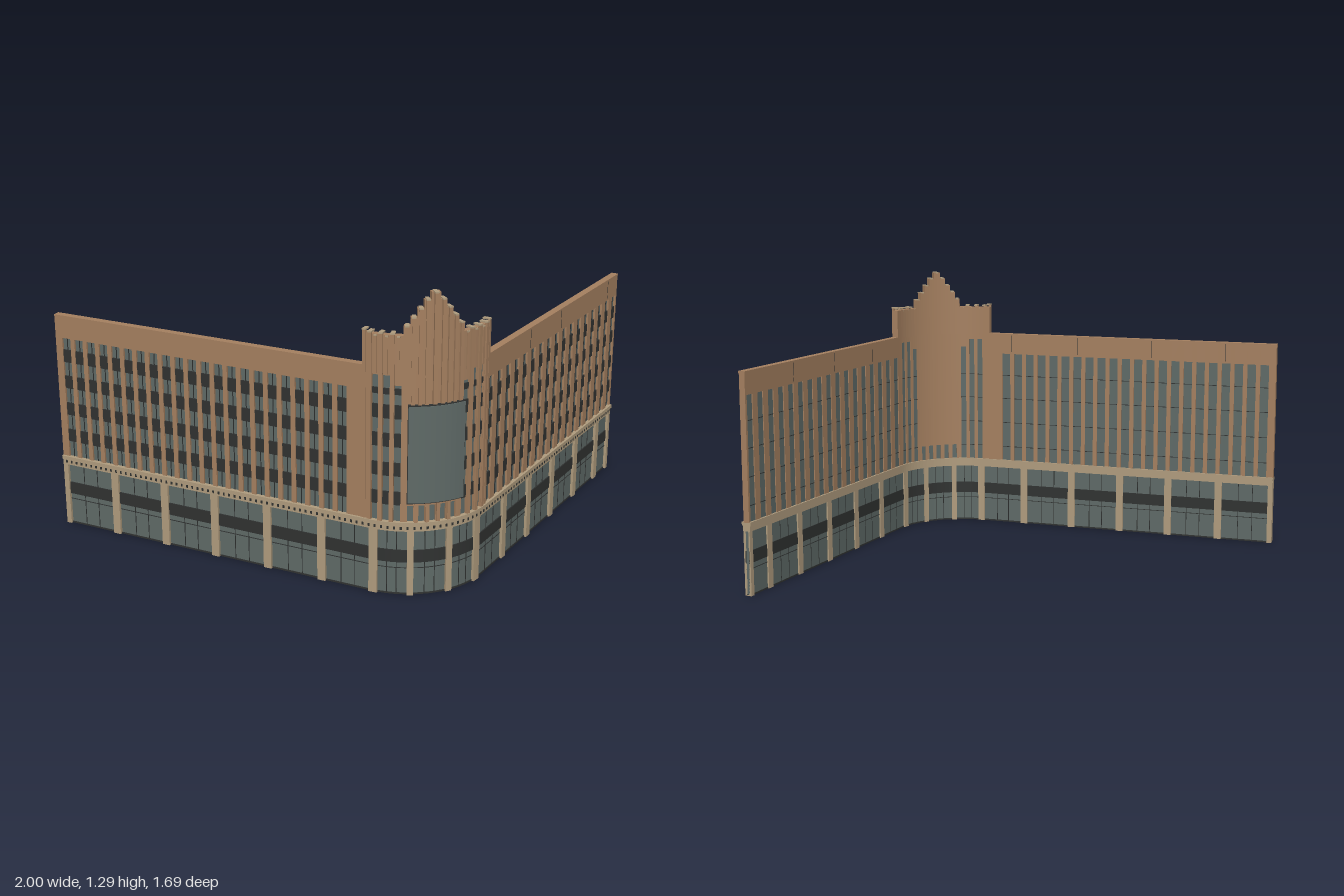
import * as THREE from 'three';
import { mergeGeometries } from 'three/addons/utils/BufferGeometryUtils.js';

const mat = (name, color) => {
  const m = new THREE.MeshStandardMaterial({ color });
  m.name = name;
  return m;
};

// Facade line: straight front, rounded corner, straight side. s = length along it, d = outward offset.
const R = 0.352, CX = 0.505, CZ = 0.47, S1 = CX + 1, TURN = 1.477;
const S2 = S1 + R * TURN, END = S2 + 1.352;
const PEAK = 1.755, HALF = 0.285;

function at(s, d) {
  const a = THREE.MathUtils.clamp((s - S1) / R, 0, TURN);
  const run = s < S1 ? s - S1 : Math.max(0, s - S2);
  const n = [Math.sin(a), Math.cos(a)];
  return [CX + n[0] * (R + d) + n[1] * run, CZ + n[1] * (R + d) - n[0] * run];
}

// Solid block following the facade line, subdivided only round the corner
function block(s0, s1, y0, y1, d0, d1) {
  const stops = [s0];
  const a = Math.max(s0, S1), b = Math.min(s1, S2);
  if (b > a) {
    const n = Math.max(1, Math.ceil((b - a) / 0.022));
    for (let i = 0; i <= n; i++) stops.push(a + (b - a) * i / n);
  }
  stops.push(s1);
  const list = stops.filter((s, i) => i === 0 || s - stops[i - 1] > 1e-6);
  const pos = [];
  const v = (s, y, d) => { const [x, z] = at(s, d); return [x, y, z]; };
  const quad = (p, q, r, t) => pos.push(...p, ...q, ...r, ...p, ...r, ...t);
  for (let i = 0; i + 1 < list.length; i++) {
    const p = list[i], q = list[i + 1];
    quad(v(p, y0, d1), v(q, y0, d1), v(q, y1, d1), v(p, y1, d1));
    quad(v(q, y0, d0), v(p, y0, d0), v(p, y1, d0), v(q, y1, d0));
    quad(v(p, y1, d1), v(q, y1, d1), v(q, y1, d0), v(p, y1, d0));
    quad(v(p, y0, d0), v(q, y0, d0), v(q, y0, d1), v(p, y0, d1));
  }
  quad(v(s0, y0, d0), v(s0, y0, d1), v(s0, y1, d1), v(s0, y1, d0));
  quad(v(s1, y0, d1), v(s1, y0, d0), v(s1, y1, d0), v(s1, y1, d1));
  const g = new THREE.BufferGeometry();
  g.setAttribute('position', new THREE.Float32BufferAttribute(pos, 3));
  g.computeVertexNormals();
  return g;
}

export function createModel() {
  const group = new THREE.Group();
  group.name = 'cornerBuilding';
  const brick = mat('brick', 0xa58060);
  const stone = mat('stone', 0xb09c7e);
  const glass = mat('glass', 0x5f6a67);
  const dark = mat('dark metal', 0x303231);

  // Blocks are collected by part name and merged into one mesh per part
  const parts = new Map();
  const add = (name, material, ...args) => {
    if (!parts.has(name)) parts.set(name, { material, list: [] });
    parts.get(name).list.push(block(...args));
  };
  const sideS = z => S2 + (0.503 - z) / 0.9956;

  // Window openings: centre, width, top
  const openings = [];
  for (let i = 0; i < 22; i++) openings.push([0.055 + i * 0.0631, 0.042, 0.88]);
  for (let i = 0; i < 17; i++) openings.push([sideS(0.465 - i * 0.0797), 0.042, 0.88]);
  for (const k of [-1, 1]) {
    openings.push([PEAK + k * 0.23, 0.027, 0.95], [PEAK + k * 0.185, 0.027, 0.95], [PEAK + k * 0.14, 0.027, 0.91]);
  }
  for (let i = -2; i <= 2; i++) openings.push([PEAK + i * 0.044, 0.024, 0.4]);
  openings.sort((a, b) => a[0] - b[0]);

  // Brick wall with real window slots
  const B0 = -0.016, B1 = 0.012, Y0 = 0.325, TOP = 0.975;
  let s = 0;
  for (const [c, w, top] of openings) {
    add('upperWall', brick, s, c - w / 2, Y0, TOP, B0, B1);
    add('upperWall', brick, c - w / 2, c + w / 2, top, TOP, B0, B1);
    s = c + w / 2;
    add('windowGlass', glass, c - w / 2, s, Y0, top, -0.012, 0.003);
    const corner = w < 0.04;
    if (!corner) add('windowMullions', dark, c - 0.0015, c + 0.0015, Y0, top, 0.003, 0.006);
    for (const y of [0.4, 0.525, 0.65, 0.77]) {
      if (y + 0.056 > top) continue;
      add('spandrels', dark, c - w / 2, s, y, y + 0.056, 0.003, 0.009);
      add('windowRails', dark, c - w / 2, s, y - 0.003, y, -0.014, 0.005);
    }
    if (top > 0.9) add('spandrels', dark, c - w / 2, s, 0.87, 0.895, 0.003, 0.009);
  }
  add('upperWall', brick, s, END, Y0, TOP, B0, B1);

  // Parapet coping on both wings
  add('coping', brick, 0, PEAK - HALF, TOP, 0.983, -0.018, 0.015);
  add('coping', brick, PEAK + HALF, END, TOP, 0.983, -0.018, 0.015);
  for (const z of [0.1, -0.21, -0.73]) {
    const c = sideS(z);
    add('wallJoints', dark, c - 0.001, c + 0.001, 0.89, TOP, B1, B1 + 0.001);
  }
  for (const c of [0.25, 0.62, 1.0, 1.35, 2.3, 2.65, 3.0]) {
    add('wallJoints', dark, c - 0.001, c + 0.001, 0.89, TOP, B0 - 0.001, B0);
  }

  // Stepped tower crown
  const steps = [[0.018, 1.29], [0.044, 1.26], [0.07, 1.225], [0.096, 1.19], [0.122, 1.155], [HALF, 1.115]];
  let inner = 0;
  for (const [u, h] of steps) {
    if (inner === 0) add('towerCrown', brick, PEAK - u, PEAK + u, TOP, h, B0, B1);
    else for (const k of [-1, 1]) {
      const a = PEAK + k * inner, b = PEAK + k * u;
      add('towerCrown', brick, Math.min(a, b), Math.max(a, b), TOP, h, B0, B1);
    }
    inner = u;
  }

  // Vertical tower ribs with small caps
  const rib = (u, w, y0, h, d) => {
    for (const k of u ? [-1, 1] : [0]) {
      const c = PEAK + k * u;
      add('towerRibs', brick, c - w / 2, c + w / 2, y0, h, B1 - 0.004, d);
      add('ribCaps', stone, c - w / 2 - 0.001, c + w / 2 + 0.001, h, h + 0.006, B0, d + 0.001);
    }
  };
  rib(0, 0.016, 0.41, 1.287, 0.023);
  [0.031, 0.057, 0.083, 0.109].forEach((u, i) => rib(u, 0.014, 0.41, steps[i + 1][1] - 0.002, 0.021));
  [0.1625, 0.2075, 0.2525].forEach(u => rib(u, 0.016, Y0, 1.12, 0.019));
  [0.14, 0.185, 0.23].forEach(u => rib(u, 0.01, 0.955, 1.108, 0.016));
  rib(0.277, 0.015, Y0, 1.126, 0.016);
  for (const u of [-0.066, -0.022, 0.022, 0.066]) {
    add('lowerRibs', brick, PEAK + u - 0.007, PEAK + u + 0.007, Y0, 0.42, B1 - 0.004, 0.02);
  }

  // Large curved display panel on the tower
  add('panelFrame', dark, 1.653, 1.882, 0.413, 0.833, 0.012, 0.026);
  add('displayPanel', glass, 1.656, 1.879, 0.417, 0.829, 0.02, 0.029);

  // Cornice with a row of small dentils
  add('cornice', stone, 0, END, 0.287, 0.312, -0.019, 0.016);
  add('corniceLip', stone, 0, END, 0.312, 0.328, -0.022, 0.022);
  for (let c = 0.02; c < END; c += 0.026) add('dentils', dark, c - 0.004, c + 0.004, 0.296, 0.308, 0.016, 0.018);

  // Ground floor glazing, dark band and rails
  add('shopGlass', glass, 0, END, 0.006, 0.287, -0.01, 0.003);
  add('shopBand', dark, 0, END, 0.145, 0.2, -0.013, 0.008);
  add('shopRails', dark, 0, END, 0.118, 0.121, -0.011, 0.005);
  add('shopRails', dark, 0, END, 0, 0.007, -0.012, 0.006);

  // Stone piers and the mullions between them
  const piers = [0.27, 0.525, 0.775, 1.03, 1.285, 1.52, 1.67, 1.83, 1.98];
  for (const z of [0.3, 0.055, -0.19, -0.445, -0.69]) piers.push(sideS(z));
  piers.forEach((c, i) => {
    const w = c > 1.6 && c < 1.9 ? 0.026 : 0.036;
    add('piers', stone, c - w / 2, c + w / 2, 0, 0.29, -0.017, 0.015);
    const prev = i ? piers[i - 1] : 0;
    for (const t of [0.37, 0.63]) {
      const m = prev + (c - prev) * t;
      add('shopMullions', dark, m - 0.0015, m + 0.0015, 0, 0.287, -0.011, 0.005);
    }
  });
  add('piers', stone, 0, 0.024, 0, 0.29, -0.017, 0.015);
  add('piers', stone, END - 0.022, END, 0, 0.29, -0.017, 0.015);

  for (const [name, { material, list }] of parts) {
    const mesh = new THREE.Mesh(mergeGeometries(list), material);
    mesh.name = name;
    group.add(mesh);
  }
  return group;
}
